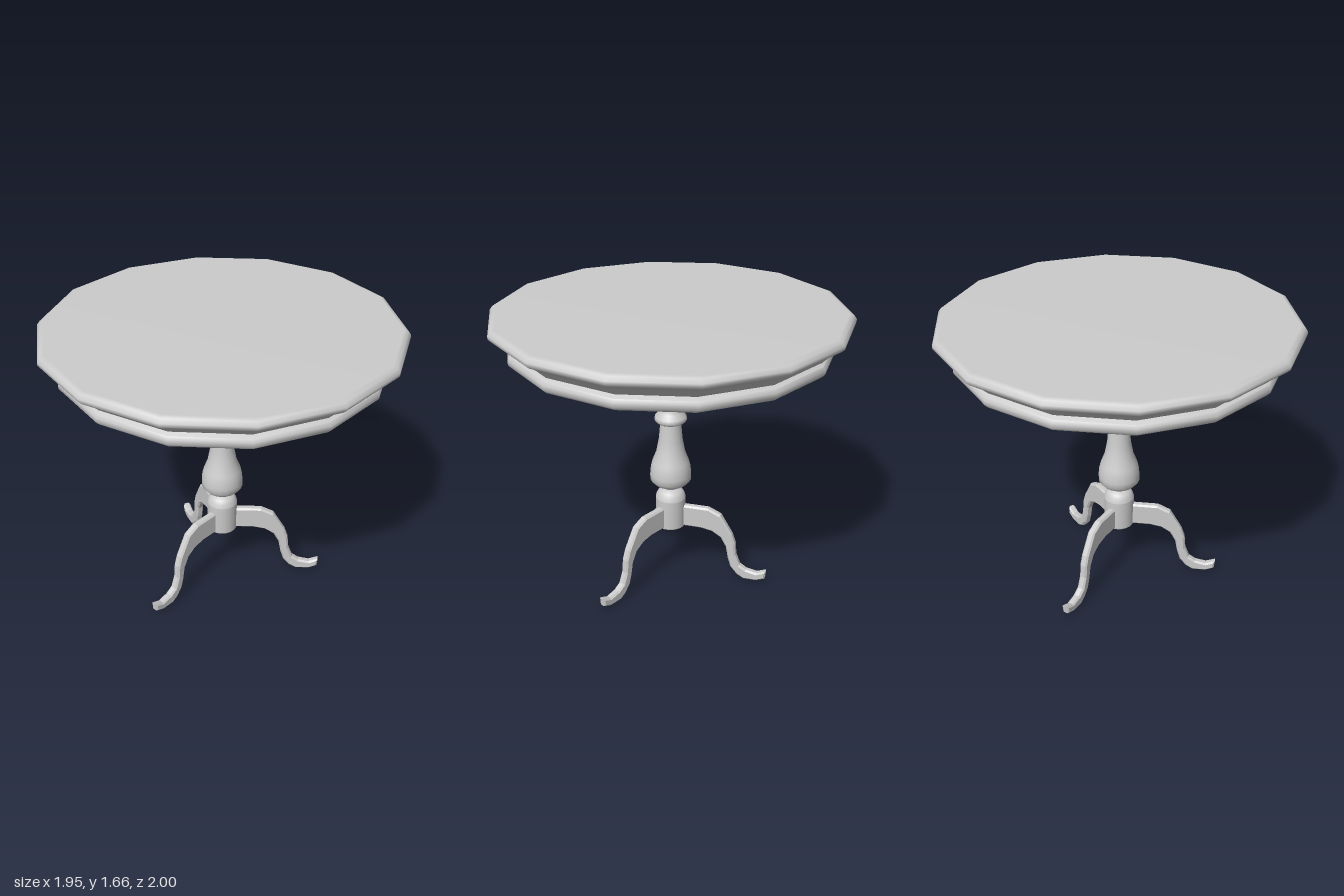
import * as THREE from 'three';

const grey = new THREE.MeshStandardMaterial({ color: 0xcccccc });
grey.name = 'plain grey';

// Turned part; each profile is [radius, y] from bottom to top, with a sharp edge between profiles
function turned(name, sides, profiles) {
  const part = new THREE.Group();
  part.name = name;
  profiles.forEach((profile, i) => {
    const points = profile.map(([r, y]) => new THREE.Vector2(r, y));
    const mesh = new THREE.Mesh(new THREE.LatheGeometry(points, sides), grey);
    mesh.name = `${name}Section${i + 1}`;
    part.add(mesh);
  });
  return part;
}

// Curved leg pointing along +z, extruded from its side outline
function legGeometry() {
  const outline = [
    [0.04, 0.318], [0.19, 0.318], [0.26, 0.305], [0.315, 0.27], [0.348, 0.21], [0.362, 0.134],
    [0.38, 0.075], [0.42, 0.027], [0.46, 0.003], [0.54, 0.003], [0.592, 0.024],
    [0.597, 0.076], [0.54, 0.055], [0.475, 0.068], [0.435, 0.095], [0.41, 0.16],
    [0.403, 0.24], [0.382, 0.3], [0.31, 0.422], [0.235, 0.457], [0.04, 0.457],
  ];
  const width = 0.046, bevel = 0.01;
  const shape = new THREE.Shape(outline.map(([x, y]) => new THREE.Vector2(x, y)));
  const geometry = new THREE.ExtrudeGeometry(shape, {
    depth: width - 2 * bevel, bevelEnabled: true, bevelSegments: 1,
    bevelSize: bevel, bevelThickness: bevel, bevelOffset: -bevel,
  });
  geometry.translate(0, 0, -width / 2 + bevel);
  geometry.rotateY(-Math.PI / 2);
  return geometry;
}

export function createModel() {
  const table = new THREE.Group();
  table.name = 'pedestalTable';

  // Fourteen-sided top: lower moulding, cove, rounded rim
  table.add(turned('tableTop', 14, [
    [[0, 1.43], [0.855, 1.43]],
    [[0.855, 1.43], [0.89, 1.447], [0.907, 1.465], [0.907, 1.49], [0.895, 1.505]],
    [[0.895, 1.505], [0.87, 1.518]],
    [[0.87, 1.518], [0.885, 1.525], [0.91, 1.55], [0.935, 1.575], [0.96, 1.59], [0.985, 1.603]],
    [[0.985, 1.603], [1, 1.618], [1, 1.635], [0.985, 1.655], [0.962, 1.664], [0, 1.664]],
  ]));

  // Turned column with bulb and ring
  table.add(turned('column', 20, [
    [[0.038, 0.555], [0.038, 0.572], [0.06, 0.582], [0.1, 0.6], [0.121, 0.625], [0.122, 0.66],
      [0.118, 0.7], [0.108, 0.74], [0.085, 0.8], [0.07, 0.88], [0.062, 0.97], [0.06, 0.985]],
    [[0.06, 0.985], [0.082, 0.995], [0.095, 1.01], [0.09, 1.03], [0.068, 1.055], [0.056, 1.075],
      [0.051, 1.11], [0.042, 1.17], [0.038, 1.21], [0.038, 1.435]],
  ]));

  // Hub that carries the legs
  table.add(turned('hub', 20, [
    [[0, 0.313], [0.085, 0.313]],
    [[0.085, 0.313], [0.09, 0.322], [0.09, 0.5]],
    [[0.09, 0.5], [0.083, 0.525], [0.07, 0.545], [0.047, 0.558], [0.036, 0.56]],
  ]));

  // Three legs, unevenly spread around the hub
  const geometry = legGeometry();
  const spread = { frontLeg: 0, backLeftLeg: 130, backRightLeg: -114 };
  for (const [name, angle] of Object.entries(spread)) {
    const leg = new THREE.Mesh(geometry, grey);
    leg.name = name;
    leg.rotation.y = THREE.MathUtils.degToRad(angle);
    table.add(leg);
  }
  return table;
}
